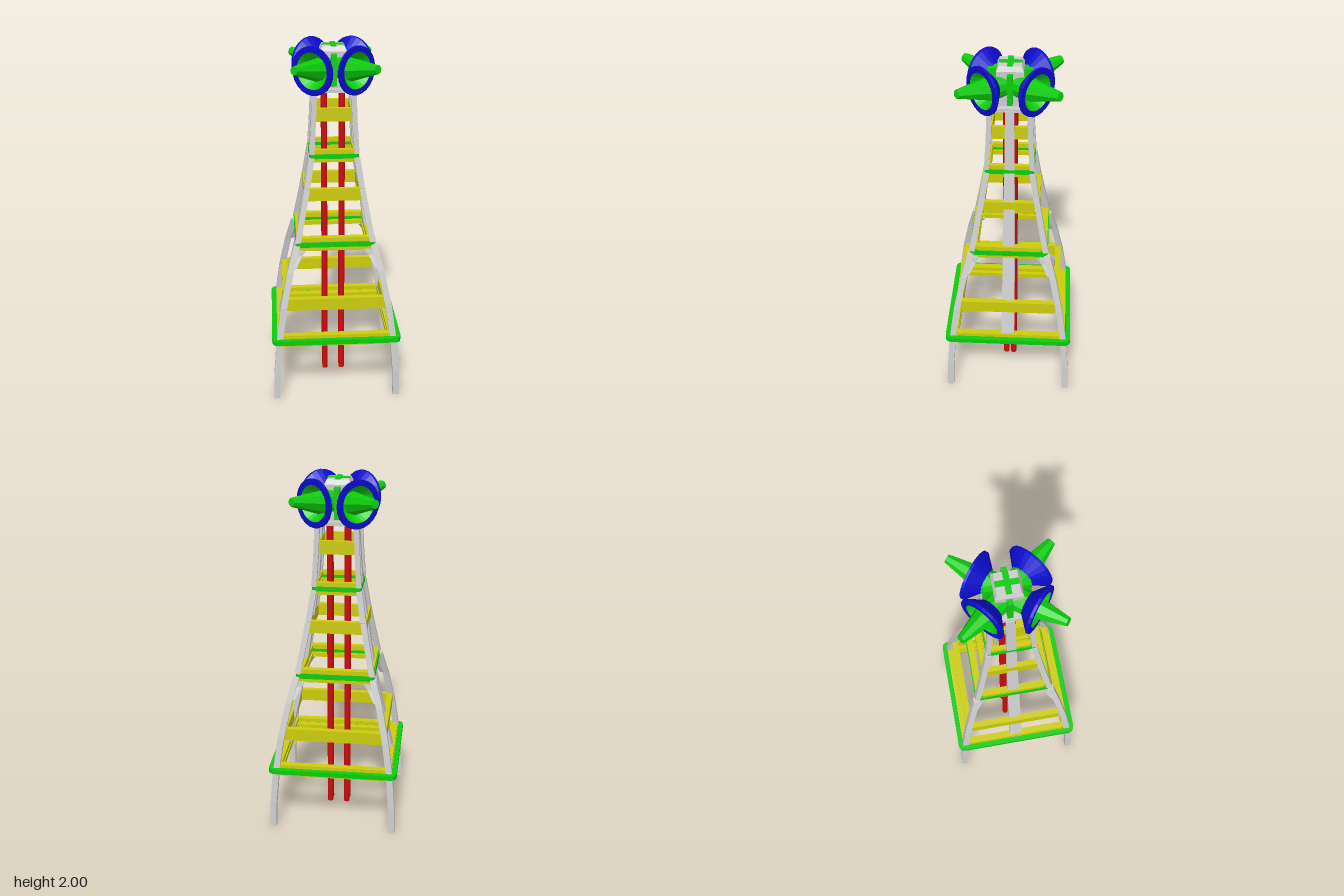
import * as THREE from 'three';

const mat = (name, color, extra = {}) => {
  const m = new THREE.MeshStandardMaterial({ color, flatShading: true, ...extra });
  m.name = name;
  return m;
};

export function createModel() {
  const model = new THREE.Group();
  model.name = 'antennaTower';
  const gray = mat('steelGray', 0xcccccc);
  const yellow = mat('beamYellow', 0xcccc0c);
  const green = mat('green', 0x0ccc0c, { side: THREE.DoubleSide });
  const blue = mat('dishBlue', 0x0c0ccc, { side: THREE.DoubleSide });
  const red = mat('pipeRed', 0xcc0c0c);

  const add = (name, geo, material, parent = model) => {
    const mesh = new THREE.Mesh(geo, material);
    mesh.name = name;
    parent.add(mesh);
    return mesh;
  };
  const box = (name, w, h, d, x, y, z, material) =>
    add(name, new THREE.BoxGeometry(w, h, d), material).position.set(x, y, z);

  // Rectangular bar through sections [x, y, z, halfX, halfZ], listed bottom to top
  const strut = (sections) => {
    const pos = [], idx = [];
    for (const [x, y, z, a, b] of sections)
      pos.push(x - a, y, z + b, x + a, y, z + b, x + a, y, z - b, x - a, y, z - b);
    for (let i = 0; i < sections.length - 1; i++)
      for (let k = 0; k < 4; k++) {
        const p = i * 4 + k, q = i * 4 + (k + 1) % 4;
        idx.push(p, q, q + 4, p, q + 4, p + 4);
      }
    const t = (sections.length - 1) * 4;
    idx.push(0, 2, 1, 0, 3, 2, t, t + 1, t + 2, t, t + 2, t + 3);
    const g = new THREE.BufferGeometry();
    g.setAttribute('position', new THREE.Float32BufferAttribute(pos, 3));
    g.setIndex(idx);
    const flat = g.toNonIndexed();
    flat.computeVertexNormals();
    return flat;
  };

  // Curved corner legs in three tiers: [distance from axis, height]
  const tiers = [
    ['lowerLeg', 0.018, [[0.345, 0], [0.341, 0.15], [0.325, 0.35], [0.297, 0.55], [0.256, 0.75], [0.218, 0.89]]],
    ['middleLeg', 0.016, [[0.21, 0.91], [0.177, 1.08], [0.148, 1.24], [0.126, 1.38]]],
    ['upperLeg', 0.014, [[0.125, 1.4], [0.114, 1.57], [0.107, 1.745]]],
  ];
  for (const sx of [-1, 1])
    for (const sz of [-1, 1]) {
      for (const [name, h, pts] of tiers)
        add(name, strut(pts.map(([c, y]) => [sx * c, y, sz * c, h, h])), gray);
      // Small braces under the second platform
      add('cornerBrace', strut([[sx * 0.235, 0.76, sz * 0.235, 0.012, 0.012],
        [sx * 0.205, 0.83, sz * 0.205, 0.018, 0.018], [sx * 0.19, 0.865, sz * 0.19, 0.028, 0.028]]), gray);
    }

  // Tapered middle legs on the left and right sides
  for (const s of [-1, 1])
    add('sideLeg', strut([[s * 0.322, 0.32, 0, 0.015, 0.038], [s * 0.2, 0.88, 0, 0.014, 0.034],
      [s * 0.125, 1.38, 0, 0.012, 0.028], [s * 0.1, 1.745, 0, 0.012, 0.024]]), gray);

  // Square frames of four beams: outer half size, bottom, top, beam depth
  const frame = (name, r, y0, y1, d) => {
    const y = (y0 + y1) / 2, h = y1 - y0, c = r - d / 2;
    for (const s of [-1, 1]) {
      box(name, 2 * r - 0.02, h, d, 0, y, s * c, yellow);
      box(name, d, h, 2 * r - 2 * d, s * c, y, 0, yellow);
    }
  };
  frame('lowerPlatformBeam', 0.335, 0.32, 0.345, 0.04);
  frame('lowerPlatformBeam', 0.335, 0.365, 0.388, 0.04);
  frame('lowerCrossBeam', 0.3, 0.53, 0.6, 0.035);
  frame('middlePlatformBeam', 0.217, 0.86, 0.885, 0.038);
  frame('middlePlatformBeam', 0.217, 0.91, 0.937, 0.038);
  frame('middleCrossBeam', 0.17, 1.14, 1.21, 0.03);
  frame('upperPlatformBeam', 0.13, 1.353, 1.378, 0.025);
  frame('upperPlatformBeam', 0.13, 1.4, 1.425, 0.025);
  frame('upperCrossBeam', 0.112, 1.58, 1.655, 0.02);

  // Green rounded rim around each platform
  const rounded = (path, r, c) => {
    path.moveTo(-r + c, -r);
    path.lineTo(r - c, -r); path.quadraticCurveTo(r, -r, r, -r + c);
    path.lineTo(r, r - c); path.quadraticCurveTo(r, r, r - c, r);
    path.lineTo(-r + c, r); path.quadraticCurveTo(-r, r, -r, r - c);
    path.lineTo(-r, -r + c); path.quadraticCurveTo(-r, -r, -r + c, -r);
    return path;
  };
  for (const [r, inner, y, h] of [[0.367, 0.338, 0.343, 0.027], [0.222, 0.198, 0.882, 0.03], [0.137, 0.118, 1.374, 0.026]]) {
    const shape = rounded(new THREE.Shape(), r, r * 0.12);
    shape.holes.push(rounded(new THREE.Path(), inner, r * 0.06));
    const g = new THREE.ExtrudeGeometry(shape, { depth: h, bevelEnabled: false, curveSegments: 4 });
    g.rotateX(-Math.PI / 2);
    add('platformRim', g, green).position.y = y;
  }

  // Vertical pipes up the core
  for (const x of [-0.05, 0.05])
    for (const z of [-0.022, 0.022])
      add('corePipe', new THREE.CylinderGeometry(0.017, 0.017, 1.75, 10), red).position.set(x, 0.875, z);

  // Head: base plate, chamfered housing and green cross straps
  box('headPlate', 0.21, 0.02, 0.21, 0, 1.747, 0, gray);
  add('headHousing', strut([[0, 1.755, 0, 0.072, 0.072], [0, 1.955, 0, 0.072, 0.072], [0, 1.982, 0, 0.06, 0.06]]), gray);
  box('topStrap', 0.122, 0.006, 0.03, 0, 1.984, 0, green);
  box('topStrap', 0.03, 0.006, 0.122, 0, 1.984, 0, green);
  for (const s of [-1, 1]) {
    box('sideStrap', 0.03, 0.17, 0.05, 0, 1.86, s * 0.095, green);
    box('sideStrap', 0.035, 0.17, 0.03, s * 0.085, 1.86, 0, green);
  }

  // Four dishes on the diagonals, each with stub, bowl and spike along local +z
  const lathe = (pts, n) =>
    new THREE.LatheGeometry(pts.map(([r, z]) => new THREE.Vector2(r, z)), n).rotateX(Math.PI / 2);
  const yaw = 0.695;
  for (const a of [yaw, -yaw, Math.PI - yaw, Math.PI + yaw]) {
    const dish = new THREE.Group();
    dish.name = 'dish';
    dish.position.y = 1.866;
    dish.rotation.y = a;
    model.add(dish);
    add('dishStub', lathe([[0, 0.04], [0.064, 0.04], [0.064, 0.118], [0, 0.118]], 12), green, dish);
    add('dishShell', lathe([[0.06, 0.112], [0.133, 0.178], [0.133, 0.192], [0.1, 0.192]], 24), blue, dish);
    add('dishBowl', lathe([[0, 0.125], [0.06, 0.13], [0.1, 0.191]], 24), green, dish);
    const spike = add('dishSpike', lathe([[0.065, 0], [0.024, 0.205], [0, 0.205]], 8), green, dish);
    spike.position.z = 0.14;
    spike.rotation.x = -0.15;
  }
  return model;
}
